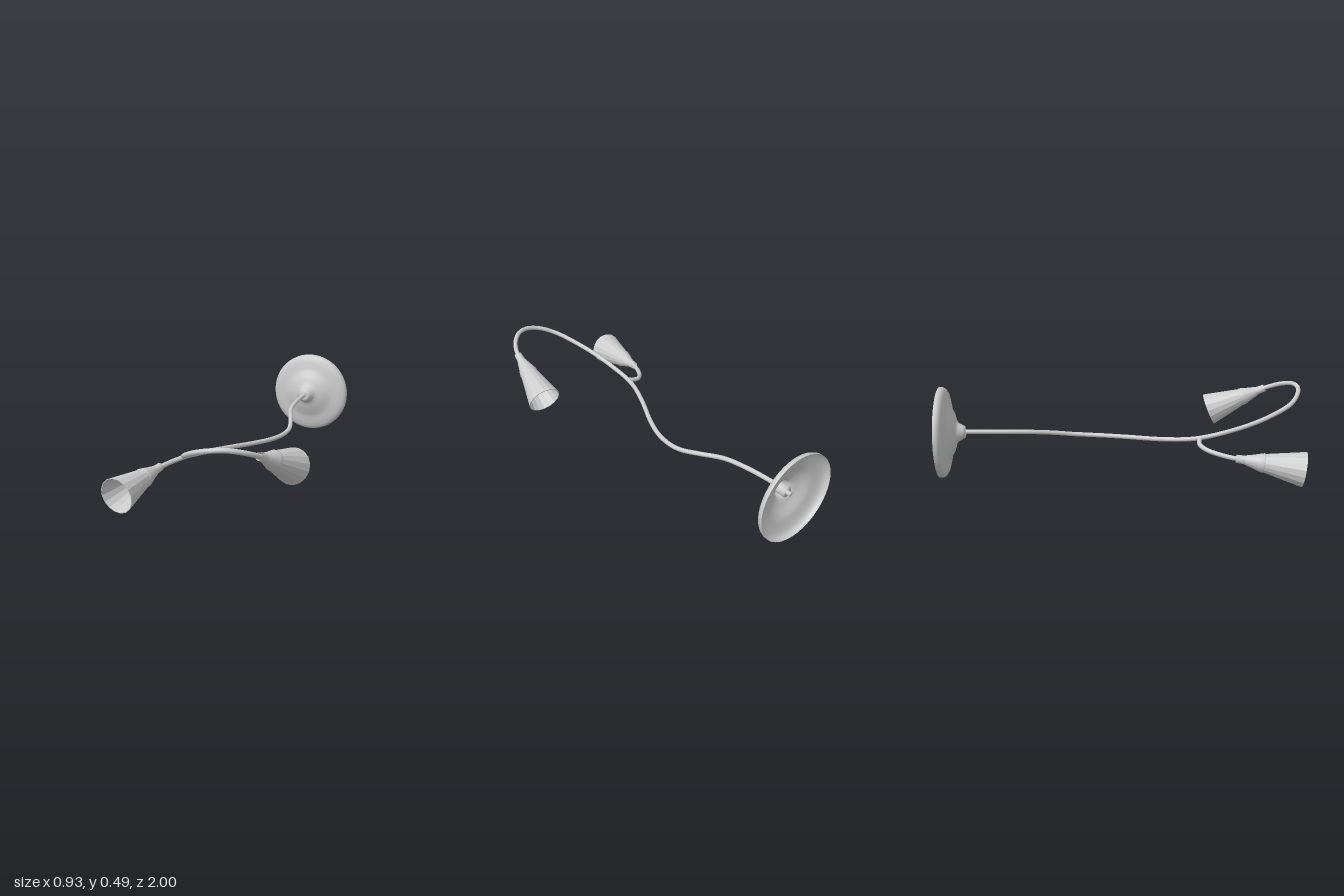
import * as THREE from 'three';

const V = (x, y, z) => new THREE.Vector3(x, y, z);
const smooth = new THREE.MeshStandardMaterial({ color: 0xcccccc });
const shell = new THREE.MeshStandardMaterial({ color: 0xcccccc, side: THREE.DoubleSide });
const faceted = new THREE.MeshStandardMaterial({ color: 0xcccccc, side: THREE.DoubleSide, flatShading: true });

function lathe(name, profile, sides, material) {
  const points = profile.map(([r, y]) => new THREE.Vector2(r, y));
  const mesh = new THREE.Mesh(new THREE.LatheGeometry(points, sides), material);
  mesh.name = name;
  return mesh;
}

function arm(name, points, segments) {
  const curve = new THREE.CatmullRomCurve3(points.map(p => V(...p)));
  const mesh = new THREE.Mesh(new THREE.TubeGeometry(curve, segments, 0.0125, 12), smooth);
  mesh.name = name;
  return mesh;
}

// Lamp head whose axis runs from the neck to the middle of the mouth
function lampHead(name, neck, mouth) {
  const head = new THREE.Group();
  head.name = name;
  const axis = mouth.clone().sub(neck);
  const L = axis.length();
  head.add(
    lathe('socket', [[0.021, 0], [0.023, 0.045], [0.027, 0.055], [0.036, 0.09], [0.047, 0.125], [0.052, 0.143], [0.048, 0.15]], 16, shell),
    lathe('shade', [[0.046, 0.135], [0.093, L], [0.089, L], [0.043, 0.14]], 16, faceted)
  );
  head.position.copy(neck);
  head.quaternion.setFromUnitVectors(V(0, 1, 0), axis.normalize());
  return head;
}

export function createModel() {
  const model = new THREE.Group();
  model.name = 'twoArmLamp';

  // Round wall plate, hollow at the back
  const plate = new THREE.Group();
  plate.name = 'wallPlate';
  plate.add(
    lathe('plateShell', [
      [0.245, 0], [0.245, 0.015], [0.239, 0.028], [0.222, 0.038], [0.195, 0.045], [0.165, 0.05],
      [0.14, 0.057], [0.112, 0.074], [0.085, 0.083], [0.062, 0.09], [0.05, 0.1], [0.042, 0.118],
      [0.036, 0.125], [0.034, 0.133], [0.024, 0.137], [0.012, 0.137]
    ], 48, shell),
    lathe('rearBushing', [[0, 0.04], [0.012, 0.04], [0.012, 0.065], [0.03, 0.065], [0.03, 0.09], [0.03, 0.12]], 12, shell)
  );
  plate.rotation.x = Math.PI / 2;
  plate.position.set(-0.07, 0.247, -1);
  model.add(plate);

  // Long swinging arm and its short branch
  model.add(arm('mainArm', [
    [-0.07, 0.25, -0.92], [-0.07, 0.249, -0.82], [-0.058, 0.243, -0.66], [-0.035, 0.234, -0.53],
    [0.015, 0.213, -0.4], [0.05, 0.193, -0.29], [0.057, 0.186, -0.21], [0.042, 0.184, -0.1],
    [0, 0.188, 0.02], [-0.085, 0.2, 0.2], [-0.134, 0.214, 0.34], [-0.143, 0.228, 0.43],
    [-0.132, 0.255, 0.56], [-0.106, 0.288, 0.69], [-0.062, 0.325, 0.81], [0, 0.367, 0.916],
    [0.075, 0.403, 0.968], [0.155, 0.425, 0.986], [0.225, 0.43, 0.968], [0.285, 0.414, 0.92],
    [0.318, 0.392, 0.867], [0.333, 0.372, 0.82]
  ], 160));
  model.add(arm('branchArm', [
    [-0.14, 0.222, 0.405], [-0.17, 0.214, 0.395], [-0.205, 0.204, 0.395], [-0.25, 0.191, 0.425],
    [-0.295, 0.178, 0.49], [-0.32, 0.169, 0.55], [-0.33, 0.165, 0.585]
  ], 48));

  model.add(lampHead('rightLampHead', V(-0.328, 0.167, 0.57), V(-0.375, 0.119, 0.92)));
  model.add(lampHead('leftLampHead', V(0.33, 0.377, 0.832), V(0.372, 0.24, 0.513)));
  return model;
}
